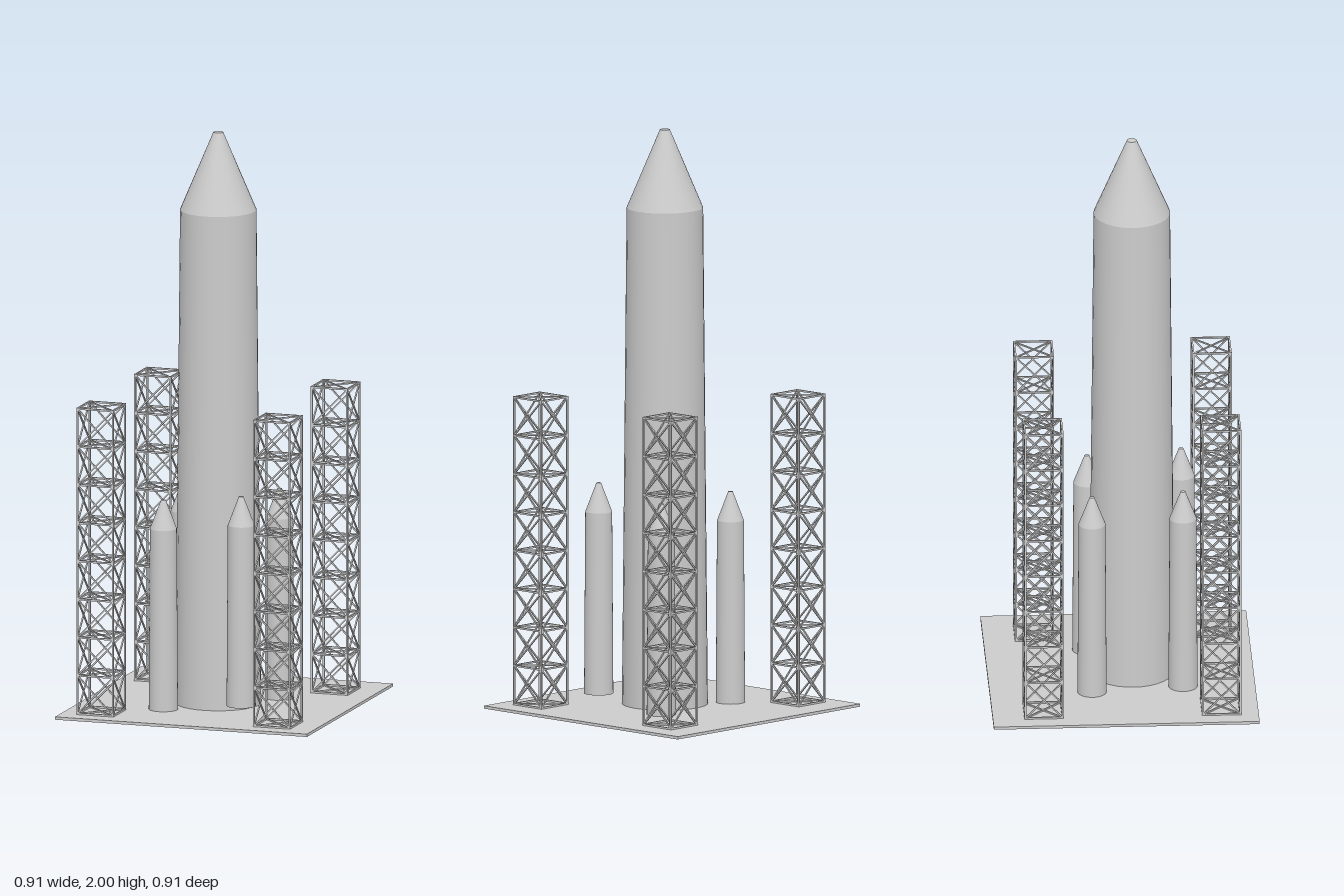
import * as THREE from 'three';
import { mergeGeometries } from 'three/addons/utils/BufferGeometryUtils.js';

const material = new THREE.MeshStandardMaterial({ color: 0xcccccc });

function part(name, geometry, x = 0, y = 0, z = 0) {
  const mesh = new THREE.Mesh(geometry, material);
  mesh.name = name;
  mesh.position.set(x, y, z);
  return mesh;
}

// Tapered body with a blunt conical nose, standing on its own origin
function rocket(name, { base, top, tip, body, nose }) {
  const group = new THREE.Group();
  group.name = name;
  group.add(
    part(name + 'Body', new THREE.CylinderGeometry(top, base, body, 32), 0, body / 2, 0),
    part(name + 'Nose', new THREE.CylinderGeometry(tip, top, nose, 32), 0, body + nose / 2, 0)
  );
  return group;
}

// Square bar between two points
function bar(a, b, width) {
  const dir = b.clone().sub(a);
  const geometry = new THREE.BoxGeometry(width, width, dir.length());
  const pose = new THREE.Object3D();
  pose.position.copy(a).add(b).multiplyScalar(0.5);
  pose.lookAt(b);
  pose.updateMatrix();
  return geometry.applyMatrix4(pose.matrix);
}

// Lattice mast: four posts, a braced square at each level, crossed braces per face
function latticeGeometry(size, height, bays) {
  const w = 0.006, h = (size - w) / 2, step = (height - w) / bays;
  const corner = (i, level) => new THREE.Vector3(
    [-h, h, h, -h][i % 4], w / 2 + level * step, [-h, -h, h, h][i % 4]);
  const bars = [];
  for (let i = 0; i < 4; i++) {
    const post = new THREE.BoxGeometry(w, height, w);
    const c = corner(i, 0);
    bars.push(post.translate(c.x, height / 2, c.z));
  }
  for (let level = 0; level <= bays; level++) {
    for (let i = 0; i < 4; i++) {
      bars.push(bar(corner(i, level), corner(i + 1, level), w));
      if (level < bays) {
        bars.push(bar(corner(i, level), corner(i + 1, level + 1), w * 0.8));
        bars.push(bar(corner(i + 1, level), corner(i, level + 1), w * 0.8));
      }
    }
    bars.push(bar(corner(0, level), corner(2, level), w * 0.8));
    bars.push(bar(corner(1, level), corner(3, level), w * 0.8));
  }
  return mergeGeometries(bars);
}

export function createModel() {
  const model = new THREE.Group();
  model.name = 'rocketOnLaunchPad';
  const deck = 0.01;

  // Launch pad
  model.add(part('launchPad', new THREE.BoxGeometry(0.91, deck, 0.91), 0, deck / 2, 0));

  // Main rocket
  const main = rocket('mainRocket', { base: 0.147, top: 0.131, tip: 0.017, body: 1.72, nose: 0.27 });
  main.position.set(-0.007, deck, 0.04);
  model.add(main);

  // Boosters, one of them raised slightly off the pad
  const boosters = [
    ['backRightBooster', -0.18, deck, -0.105],
    ['backLeftBooster', 0.165, deck, -0.105],
    ['frontRightBooster', -0.148, deck, 0.208],
    ['frontLeftBooster', 0.136, 0.042, 0.216]
  ];
  for (const [name, x, y, z] of boosters) {
    const booster = rocket(name, { base: 0.05, top: 0.046, tip: 0.008, body: 0.63, nose: 0.1 });
    booster.position.set(x, y, z);
    model.add(booster);
  }

  // Lattice towers at the pad corners
  const lattice = latticeGeometry(0.134, 1.07, 8);
  for (const [side, x] of [['Right', -0.331], ['Left', 0.307]])
    for (const [end, z] of [['front', 0.328], ['back', -0.28]])
      model.add(part(end + side + 'Tower', lattice, x, deck, z));

  return model;
}
